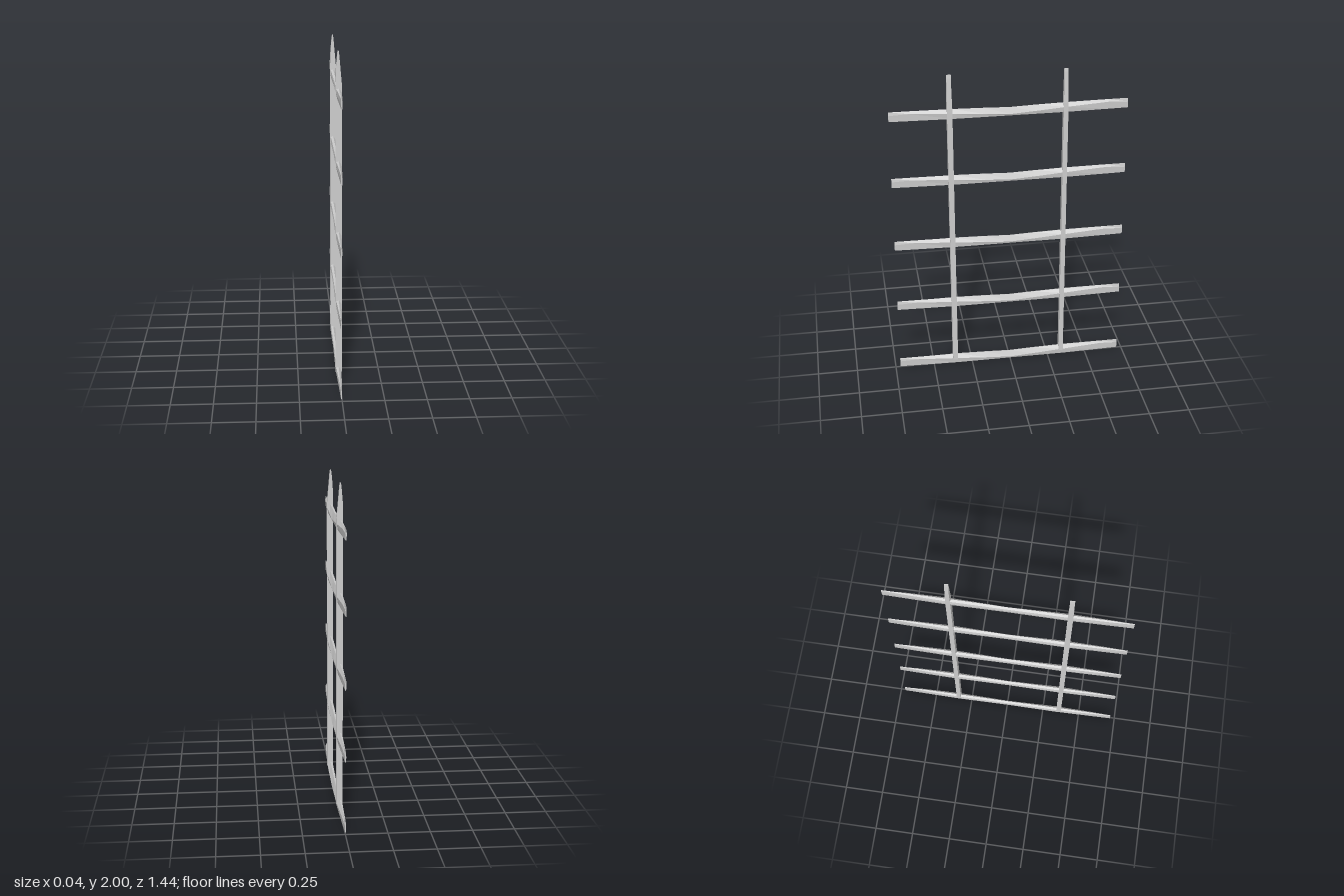
import * as THREE from 'three';

const material = new THREE.MeshStandardMaterial({ color: 0xcccccc, flatShading: true, side: THREE.DoubleSide });

// Skin a row of equal-sized cross-sections (counter-clockwise seen from the far end) and cap both ends.
function loft(sections) {
  const n = sections[0].length, last = (sections.length - 1) * n, index = [];
  for (let s = 0; s < last; s += n) {
    for (let i = 0; i < n; i++) {
      const j = (i + 1) % n;
      index.push(s + i, s + j, s + n + j, s + i, s + n + j, s + n + i);
    }
  }
  for (let i = 1; i < n - 1; i++) index.push(0, i + 1, i, last, last + i, last + i + 1);
  const geometry = new THREE.BufferGeometry();
  geometry.setAttribute('position', new THREE.Float32BufferAttribute(sections.flat(2), 3));
  geometry.setIndex(index);
  const flat = geometry.toNonIndexed();
  flat.computeVertexNormals();
  return flat;
}

// Split-log rung: thin blade ends, wide hollowed middle with a sagging worn top.
function rungGeometry() {
  // z, half width, top height, front ridge height, underside notch height
  const stations = [
    [-0.72, 0.004, 0.062, 0.04, 0.001],
    [-0.6, 0.009, 0.062, 0.048, 0.006],
    [-0.34, 0.018, 0.06, 0.036, 0.016],
    [-0.15, 0.017, 0.056, 0.022, 0.018],
    [0, 0.016, 0.051, 0.012, 0.016],
    [0.15, 0.017, 0.056, 0.022, 0.018],
    [0.34, 0.018, 0.06, 0.036, 0.016],
    [0.6, 0.009, 0.062, 0.048, 0.006],
    [0.72, 0.004, 0.062, 0.04, 0.001],
  ];
  return loft(stations.map(([z, w, top, ridge, notch]) => {
    const c = -0.003 * Math.abs(z) / 0.72;
    return [
      [c - w * 0.6, 0, z],
      [c, notch, z],
      [c + w * 0.75, 0.002, z],
      [c + w, ridge, z],
      [c, top, z],
      [c - w * 0.8, top - 0.006, z],
      [c - w, 0.03, z],
    ];
  }));
}

// Squared rail whose top is shaved to a narrow tip.
function railGeometry(halfDepth) {
  // y, left x, right x
  const stations = [[0.03, -0.02, 0.018], [1.79, -0.02, 0.018], [1.9, -0.018, 0.008], [1.98, -0.011, 0.001], [2, -0.008, -0.002]];
  return loft(stations.map(([y, x0, x1]) => {
    const d = y > 1.79 ? halfDepth - 0.002 : halfDepth;
    return [[x0, y, d], [x1, y, d], [x1, y, -d], [x0, y, -d]];
  }));
}

export function createModel() {
  const group = new THREE.Group();
  group.name = 'ladder';

  // Two upright rails
  for (const [name, z, halfDepth] of [['frontRail', 0.36, 0.016], ['backRail', -0.338, 0.014]]) {
    const rail = new THREE.Mesh(railGeometry(halfDepth), material);
    rail.name = name;
    rail.position.z = z;
    group.add(rail);
  }

  // Five evenly spaced rungs
  const geometry = rungGeometry();
  for (let i = 0; i < 5; i++) {
    const rung = new THREE.Mesh(geometry, material);
    rung.name = `rung${i + 1}`;
    rung.position.y = 0.003 + i * 0.431;
    group.add(rung);
  }
  return group;
}
